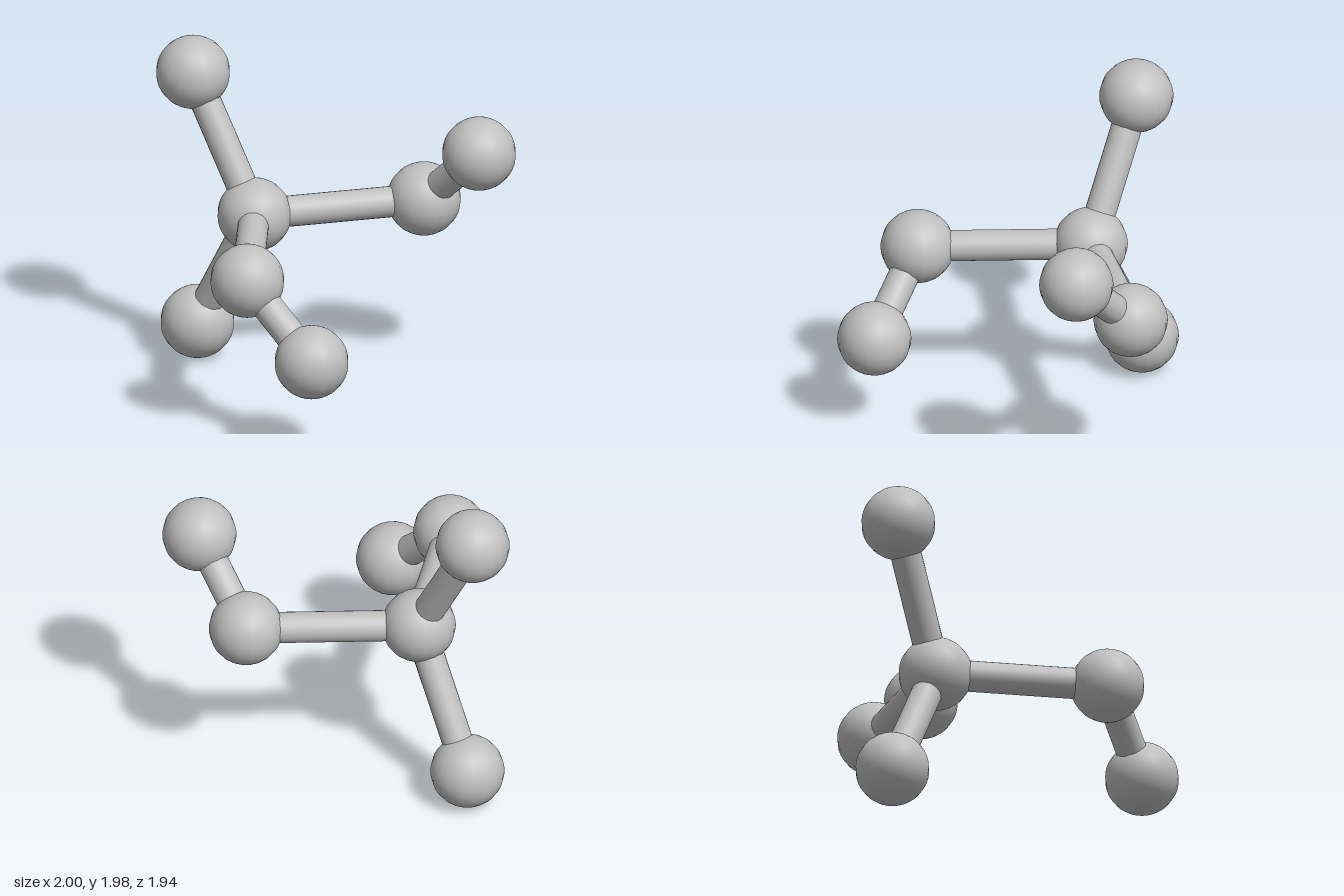
import * as THREE from 'three';

export function createModel() {
  const model = new THREE.Group();
  const grey = new THREE.MeshStandardMaterial({ color: 0xc0c0c0 });
  grey.name = 'light grey';

  // Ball centres
  const balls = {
    centreBall: [0, 0.995, -0.31],
    topBall: [-0.02, 1.77, -0.757],
    bottomBall: [0.02, 0.216, -0.757],
    leftBall: [0.786, 1.015, 0.305],
    rightBall: [-0.786, 0.975, 0.305],
    leftEndBall: [0.745, 1.42, 0.757],
    rightEndBall: [-0.745, 0.573, 0.757],
  };
  const ballGeometry = new THREE.SphereGeometry(0.214, 18, 32);
  for (const [name, position] of Object.entries(balls)) {
    const ball = new THREE.Mesh(ballGeometry, grey);
    ball.name = name;
    ball.position.set(...position);
    model.add(ball);
  }

  // Rods joining pairs of balls
  const up = new THREE.Vector3(0, 1, 0);
  function addRod(name, from, to) {
    const a = new THREE.Vector3(...balls[from]);
    const b = new THREE.Vector3(...balls[to]);
    const rod = new THREE.Mesh(new THREE.CylinderGeometry(0.09, 0.09, a.distanceTo(b), 24), grey);
    rod.name = name;
    rod.position.addVectors(a, b).multiplyScalar(0.5);
    rod.quaternion.setFromUnitVectors(up, b.sub(a).normalize());
    model.add(rod);
  }
  addRod('topRod', 'centreBall', 'topBall');
  addRod('bottomRod', 'centreBall', 'bottomBall');
  for (const side of ['left', 'right']) {
    addRod(side + 'Rod', 'centreBall', side + 'Ball');
    addRod(side + 'EndRod', side + 'Ball', side + 'EndBall');
  }
  return model;
}
